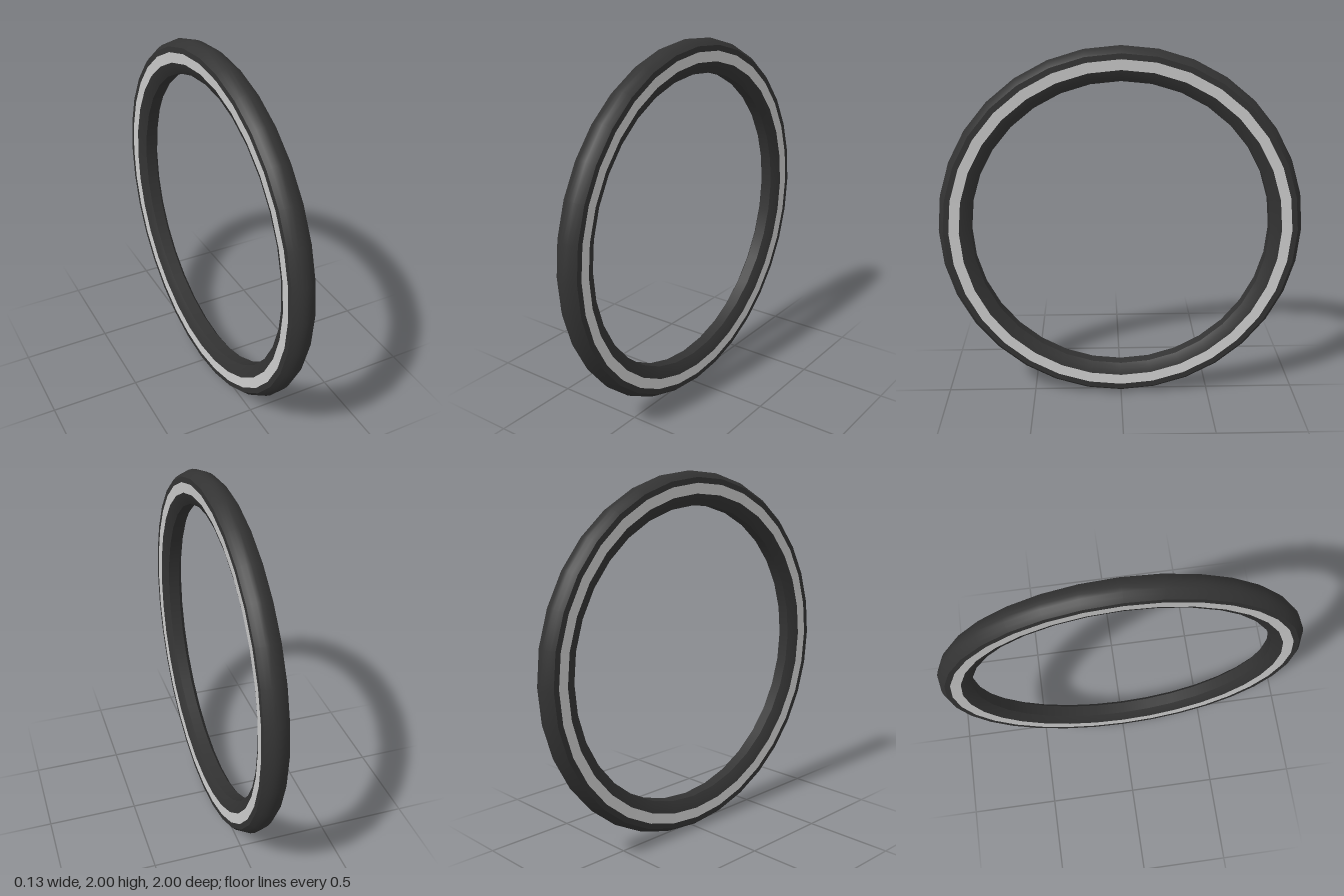
import * as THREE from 'three';

const SEGMENTS = 32;
const rubber = new THREE.MeshStandardMaterial({ color: 0x333333 });
const stripe = new THREE.MeshStandardMaterial({ color: 0xcccccc });

// Revolve a strip of [radius, x] points around the x axis
function ring(name, points, material) {
  const profile = points.map(([r, x]) => new THREE.Vector2(r, x));
  const geometry = new THREE.LatheGeometry(profile, SEGMENTS);
  geometry.rotateZ(-Math.PI / 2);
  const mesh = new THREE.Mesh(geometry, material);
  mesh.name = name;
  return mesh;
}

export function createModel() {
  const tire = new THREE.Group();
  tire.name = 'tire';

  // Rounded tread and flat inner face
  tire.add(ring('tread', [
    [0.968, -0.065], [0.985, -0.045], [0.996, -0.022], [1, 0],
    [0.996, 0.022], [0.985, 0.045], [0.968, 0.065],
  ], rubber));
  tire.add(ring('innerFace', [[0.82, 0.032], [0.82, -0.032]], rubber));

  // Each side: shoulder, pale stripe and sloping bead
  const sideStrips = [
    ['Shoulder', [[0.968, 0.065], [0.938, 0.066]], rubber],
    ['Stripe', [[0.938, 0.066], [0.882, 0.062]], stripe],
    ['Bead', [[0.882, 0.062], [0.85, 0.052], [0.82, 0.032]], rubber],
  ];
  for (const [side, sign] of [['left', 1], ['right', -1]]) {
    for (const [part, points, material] of sideStrips) {
      const strip = points.map(([r, x]) => [r, x * sign]);
      if (sign < 0) strip.reverse();
      tire.add(ring(side + part, strip, material));
    }
  }

  tire.position.y = 1;
  const model = new THREE.Group();
  model.name = 'stripedTire';
  model.add(tire);
  return model;
}
